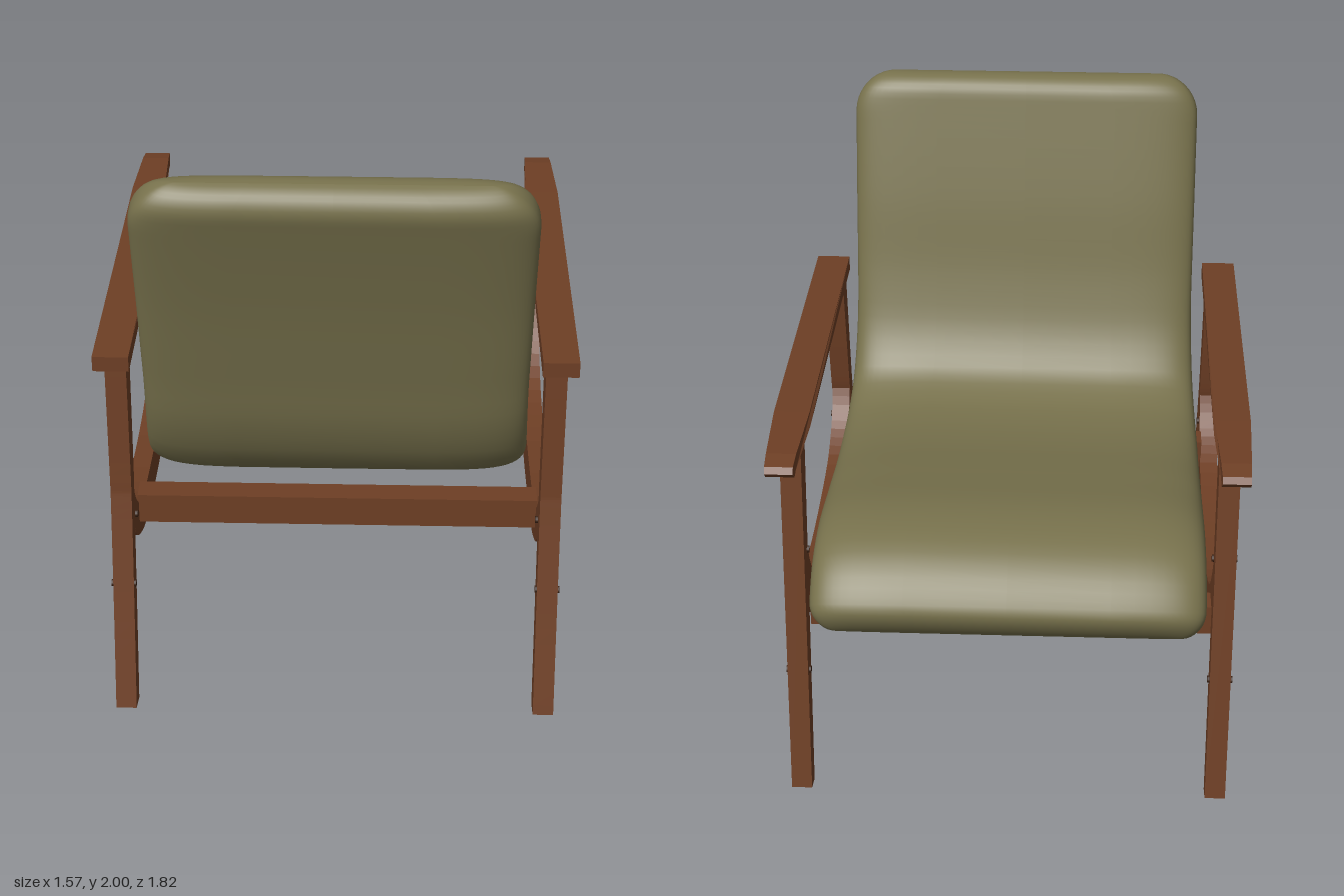
import * as THREE from 'three';

const wood = new THREE.MeshStandardMaterial({ color: 0x6e3f25 });
wood.name = 'walnut wood';
const fabric = new THREE.MeshStandardMaterial({ color: 0x77714c });
fabric.name = 'olive fabric';
const dark = new THREE.MeshStandardMaterial({ color: 0x3a2214 });
dark.name = 'dark dowel';

const v2 = (pts) => pts.map(([z, y]) => new THREE.Vector2(z, y));
const smooth = (pts, n = 28) => new THREE.SplineCurve(v2(pts)).getPoints(n);

// Board cut from a side outline of (z, y) points, centred on x = 0
function board(points, width) {
  const geo = new THREE.ExtrudeGeometry(new THREE.Shape(points), { depth: width, bevelEnabled: false });
  geo.rotateY(-Math.PI / 2);
  geo.translate(width / 2, 0, 0);
  return geo;
}

function add(parent, name, geo, mat, x = 0, y = 0, z = 0) {
  const mesh = new THREE.Mesh(geo, mat);
  mesh.name = name;
  mesh.position.set(x, y, z);
  parent.add(mesh);
  return mesh;
}

// One padded shell: a rounded section swept along the side profile
function cushionGeometry() {
  // half thickness, y, z from the top of the back to the nose of the seat
  const path = new THREE.CatmullRomCurve3([
    [0.088, 2.0, 0.845], [0.085, 1.88, 0.81], [0.083, 1.555, 0.72], [0.085, 1.245, 0.643],
    [0.1, 1.03, 0.575], [0.115, 0.88, 0.475], [0.12, 0.805, 0.32], [0.12, 0.787, 0.165],
    [0.122, 0.795, -0.02], [0.127, 0.832, -0.285], [0.13, 0.866, -0.58],
    [0.125, 0.83, -0.74], [0.11, 0.705, -0.865],
  ].map((p) => new THREE.Vector3(...p)));
  path.arcLengthDivisions = 600;
  const length = path.getLength();
  const rows = 72, cols = 56, pos = [], index = [];
  const round = (d, r) => Math.sqrt(Math.max(0, 1 - Math.max(0, 1 - d / r) ** 2));
  const power = (v, e) => Math.sign(v) * Math.abs(v) ** e;
  for (let i = 0; i <= rows; i++) {
    const u = 0.5 - 0.5 * Math.cos(Math.PI * i / rows);
    const p = path.getPointAt(u), t = path.getTangentAt(u);
    const tl = Math.hypot(t.y, t.z), ny = -t.z / tl, nz = t.y / tl;
    const top = u * length, nose = (1 - u) * length;
    const h = p.x * round(top, 0.085) * round(nose, 0.07);
    const w = THREE.MathUtils.lerp(0.628, 0.654, THREE.MathUtils.smoothstep(u, 0.3, 0.6))
      - 0.15 * (1 - round(top, 0.15)) - 0.09 * (1 - round(nose, 0.09));
    for (let j = 0; j < cols; j++) {
      const a = j / cols * Math.PI * 2;
      const n = h * power(Math.sin(a), 0.6);
      pos.push(w * power(Math.cos(a), 0.3), p.y + ny * n, p.z + nz * n);
      if (i < rows) {
        const k = (j + 1) % cols, r = i * cols, s = r + cols;
        index.push(r + j, s + j, s + k, r + j, s + k, r + k);
      }
    }
  }
  const geo = new THREE.BufferGeometry();
  geo.setAttribute('position', new THREE.Float32BufferAttribute(pos, 3));
  geo.setIndex(index);
  geo.computeVertexNormals();
  return geo;
}

// Armrest, narrowing towards its shaped tip
function armGeometry() {
  const geo = board(v2([
    [0.7, 1.25], [0.7, 1.303], [-0.5, 1.324], [-0.76, 1.322], [-0.825, 1.312], [-0.84, 1.293],
    [-0.81, 1.265], [-0.78, 1.274], [-0.5, 1.27],
  ]), 0.118);
  const p = geo.attributes.position;
  for (let i = 0; i < p.count; i++) {
    const k = Math.max(0, (-0.5 - p.getZ(i)) / 0.34);
    p.setX(i, p.getX(i) * (1 - 0.23 * k));
  }
  geo.computeVertexNormals();
  return geo;
}

export function createModel() {
  const model = new THREE.Group();
  model.name = 'loungeChair';
  add(model, 'cushion', cushionGeometry(), fabric);

  const backLeg = board([
    ...smooth([[0.672, 1.253], [0.705, 0.85], [0.722, 0.73], [0.8, 0.38], [0.89, 0.015]]),
    ...smooth([[0.815, 0], [0.735, 0.34], [0.655, 0.7], [0.625, 0.85], [0.575, 1.255]]),
  ], 0.07);
  const frontLeg = board(v2([[-0.56, 1.243], [-0.655, 1.26], [-0.85, 0.017], [-0.785, 0.003]]), 0.07);
  const rail = board([
    ...smooth([[0.65, 0.78], [0.6, 0.69], [0.51, 0.615], [0.35, 0.563], [-0.02, 0.543],
      [-0.29, 0.57], [-0.47, 0.65], [-0.58, 0.785], [-0.632, 0.92]]),
    ...smooth([[-0.665, 0.76], [-0.6, 0.625], [-0.49, 0.505], [-0.29, 0.42], [-0.04, 0.4],
      [0.35, 0.435], [0.51, 0.485], [0.63, 0.56], [0.685, 0.67]]),
  ], 0.066);
  const arm = armGeometry();
  const dowel = new THREE.CylinderGeometry(0.012, 0.012, 0.084, 12).rotateZ(Math.PI / 2);

  // Both side frames
  for (const [side, s] of [['left', 1], ['right', -1]]) {
    const frame = new THREE.Group();
    frame.name = side + 'Frame';
    frame.position.x = s * 0.715;
    model.add(frame);
    add(frame, 'backLeg', backLeg, wood);
    add(frame, 'frontLeg', frontLeg, wood);
    add(frame, 'curvedRail', rail, wood);
    add(frame, 'armrest', arm, wood, s * 0.011);
    for (const [z, y] of [[0.635, 0.65], [0.765, 0.455], [-0.64, 0.875], [-0.75, 0.455]])
      add(frame, 'dowel', dowel, dark, 0, y, z);
  }

  // Cross bars under the seat
  const bar = new THREE.BoxGeometry(1.37, 0.11, 0.085);
  add(model, 'rearCrossBar', bar, wood, 0, 0.605, 0.498);
  add(model, 'frontCrossBar', bar, wood, 0, 0.605, -0.578);
  return model;
}
